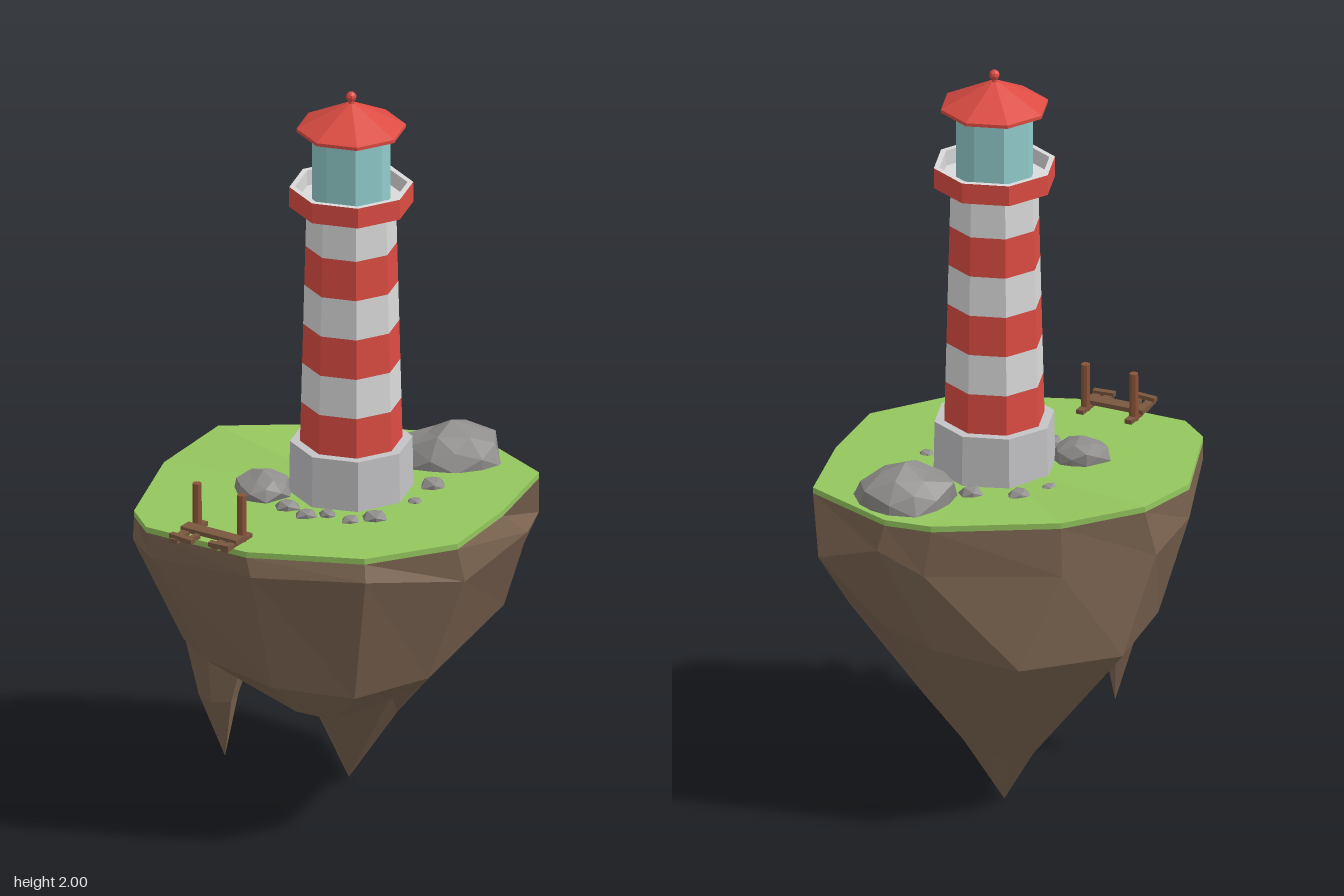
import * as THREE from 'three';

const mat = (name, color, side = THREE.FrontSide) => {
  const m = new THREE.MeshStandardMaterial({ color, flatShading: true, side });
  m.name = name;
  return m;
};

// Joins rings of [x, y, z] points; a ring of one point closes the end.
function loft(rings) {
  const n = Math.max(...rings.map((r) => r.length));
  const pos = [];
  for (let k = 0; k < rings.length - 1; k++) {
    const up = rings[k], low = rings[k + 1];
    for (let i = 0; i < n; i++) {
      const at = (r, j) => r[r.length === 1 ? 0 : j % n];
      const a = at(up, i), b = at(up, i + 1), d = at(low, i), e = at(low, i + 1);
      if (up.length > 1) pos.push(...a, ...b, ...d);
      if (low.length > 1) pos.push(...b, ...e, ...d);
      else if (up.length === 1) continue;
    }
  }
  const g = new THREE.BufferGeometry();
  g.setAttribute('position', new THREE.Float32BufferAttribute(pos, 3));
  g.computeVertexNormals();
  return g;
}

// Boulder: a squashed icosahedron, each corner pushed in or out by a hash of its place.
function boulder(rx, ry, rz, seed) {
  const g = new THREE.IcosahedronGeometry(1, rx > 0.06 ? 1 : 0);
  const p = g.attributes.position;
  for (let i = 0; i < p.count; i++) {
    const [x, y, z] = [p.getX(i), p.getY(i), p.getZ(i)].map((v) => Math.round(v * 100) / 100);
    const h = Math.sin(x * 12.9 + y * 78.2 + z * 37.7 + seed * 4.1) * 437.5;
    const s = 0.84 + 0.24 * (h - Math.floor(h));
    p.setXYZ(i, x * rx * s, y * ry * s, z * rz * s);
  }
  g.computeVertexNormals();
  return g;
}

// Island outline and the cross-sections below it, back left corner first, clockwise from above.
const EDGE = [
  [-0.27, 0.9, -0.42], [-0.04, 0.885, -0.44], [0.29, 0.88, -0.37], [0.4, 0.885, -0.31],
  [0.53, 0.885, -0.06], [0.41, 0.885, 0.18], [0.27, 0.882, 0.38], [0.02, 0.88, 0.45],
  [-0.28, 0.875, 0.36], [-0.52, 0.872, 0.16], [-0.54, 0.872, 0.05], [-0.43, 0.876, -0.25]];
const SHOULDER = [
  [-0.3, 0.76, -0.42], [-0.04, 0.74, -0.455], [0.31, 0.74, -0.37], [0.42, 0.8, -0.31],
  [0.54, 0.73, -0.16], [0.48, 0.8, 0.13], [0.29, 0.77, 0.37], [0.02, 0.82, 0.47],
  [-0.27, 0.81, 0.38], [-0.51, 0.79, 0.17], [-0.545, 0.8, 0.07], [-0.43, 0.78, -0.25]];
const WAIST = [
  [-0.2, 0.5, -0.46], [0.08, 0.49, -0.47], [0.28, 0.52, -0.35], [0.38, 0.55, -0.24],
  [0.44, 0.56, -0.08], [0.43, 0.55, 0.02], [0.2, 0.48, 0.32], [0, 0.46, 0.39],
  [-0.21, 0.48, 0.34], [-0.37, 0.5, 0.18], [-0.41, 0.5, 0.04], [-0.36, 0.5, -0.2]];
const UNDERSIDE = [
  [-0.09, 0.3, -0.34], [0.06, 0.29, -0.35], [0.17, 0.3, -0.28], [0.22, 0.3, -0.21],
  [0.25, 0.3, -0.13], [0.23, 0.32, -0.03], [0.17, 0.39, 0.2], [-0.05, 0.37, 0.31],
  [-0.14, 0.38, 0.27], [-0.2, 0.43, 0.12], [-0.22, 0.42, 0], [-0.18, 0.37, -0.17]];
const SPIKE = [
  [-0.01, 0.16, -0.26], [0.05, 0.15, -0.26], [0.11, 0.16, -0.22], [0.14, 0.16, -0.18],
  [0.15, 0.17, -0.15], [0.16, 0.22, -0.07], [0.13, 0.33, 0.07], [0.03, 0.31, 0.07],
  [-0.06, 0.33, 0.06], [-0.08, 0.34, 0.02], [-0.09, 0.32, -0.06], [-0.06, 0.24, -0.16]];

// [x, z, rx, rz, height above the grass]
const BOULDERS = [
  [0.315, -0.19, 0.138, 0.12, 0.105], [-0.195, -0.02, 0.078, 0.073, 0.06],
  [-0.065, -0.205, 0.027, 0.022, 0.02], [0.02, -0.228, 0.037, 0.032, 0.025],
  [0.14, -0.19, 0.037, 0.034, 0.03], [0.247, -0.01, 0.038, 0.04, 0.03],
  [0.19, 0.09, 0.024, 0.023, 0.015], [0.075, 0.185, 0.039, 0.038, 0.025],
  [0.01, 0.195, 0.027, 0.028, 0.018], [-0.045, 0.15, 0.026, 0.028, 0.018],
  [-0.1, 0.145, 0.031, 0.03, 0.02], [-0.145, 0.088, 0.036, 0.033, 0.025]];

export function createModel() {
  const model = new THREE.Group();
  model.name = 'lighthouseIsland';
  const grass = mat('grass green', 0x94c65e), earth = mat('earth brown', 0x7a6350);
  const stone = mat('boulder grey', 0x8f8d8b), base = mat('plinth grey', 0xc4c4c6);
  const white = mat('tower white', 0xdadada), red = mat('tower red', 0xdc4c43);
  const glass = mat('lantern glass', 0x92cccc), wood = mat('plank brown', 0x79573f);
  const post = mat('post brown', 0x8a5338);

  const add = (parent, name, geo, material, x = 0, y = 0, z = 0) => {
    const m = new THREE.Mesh(geo, material);
    m.name = name;
    m.position.set(x, y, z);
    parent.add(m);
    return m;
  };

  // Floating island: turf on top, tapering rock below
  const turfFoot = EDGE.map(([x, y, z]) => [x, y - 0.016, z]);
  add(model, 'turf', loft([[[0.03, 0.882, -0.02]], EDGE, turfFoot]), grass);
  add(model, 'islandRock', loft([turfFoot, SHOULDER, WAIST, UNDERSIDE, SPIKE, [[0.045, 0, -0.17]]]), earth);

  // Smaller hanging spike
  const ring = (x, y, z, rx, rz) => Array.from({ length: 6 }, (_, i) => {
    const a = (i / 6) * Math.PI * 2;
    return [x + rx * Math.cos(a), y, z + rz * Math.sin(a)];
  });
  add(model, 'sideSpike', loft([ring(-0.31, 0.52, 0.06, 0.1, 0.12), ring(-0.32, 0.35, 0.06, 0.052, 0.07), [[-0.3, 0.16, 0.03]]]), earth);

  // Tower: eight-sided, corners on the axes
  const tower = new THREE.Group();
  tower.name = 'tower';
  tower.position.set(0.035, 0, -0.02);
  model.add(tower);
  const octagon = (name, rTop, rBottom, y0, y1, material, open = false) =>
    add(tower, name, new THREE.CylinderGeometry(rTop, rBottom, y1 - y0, 8, 1, open), material, 0, (y0 + y1) / 2, 0);

  octagon('plinth', 0.16, 0.163, 0.86, 1.02, base);
  const radius = (k) => 0.134 - 0.0028 * k;
  for (let k = 0; k < 6; k++) {
    octagon(k % 2 ? 'whiteBand' : 'redBand', radius(k + 1), radius(k), 1.02 + 0.11 * k, 1.13 + 0.11 * k, k % 2 ? white : red, true);
  }

  // Gallery with a hollow parapet
  const lathe = (name, pts, material) =>
    add(tower, name, new THREE.LatheGeometry(pts.map(([r, y]) => new THREE.Vector2(r, y)), 8), material);
  octagon('parapet', 0.162, 0.162, 1.682, 1.738, red, true);
  lathe('galleryUnderside', [[0.05, 1.682], [0.162, 1.682]], base);
  lathe('galleryInside', [[0.162, 1.738], [0.147, 1.738], [0.147, 1.695], [0.05, 1.695]], white);

  // Lantern room, roof and finial
  octagon('lantern', 0.103, 0.103, 1.69, 1.9, glass);
  octagon('eaves', 0.143, 0.143, 1.893, 1.902, red);
  octagon('roof', 0.012, 0.143, 1.902, 1.968, red);
  octagon('finialStem', 0.007, 0.009, 1.96, 1.98, red);
  add(tower, 'finialBall', new THREE.SphereGeometry(0.014, 8, 6), red, 0, 1.986, 0);

  // Boulders around the tower
  BOULDERS.forEach(([x, z, rx, rz, h], i) => {
    const g = boulder(rx, h, rz, i);
    add(model, 'boulder', g, stone, x, 0.88, z);
  });

  // Broken jetty at the front edge; local z points outward
  const jetty = new THREE.Group();
  jetty.name = 'jetty';
  jetty.position.set(-0.337, 0.887, 0.24);
  jetty.rotation.y = -0.7;
  model.add(jetty);
  const plank = (x, z, w, d, y = 0, turn = 0) => {
    add(jetty, 'plank', new THREE.BoxGeometry(w, 0.012, d), wood, x, y, z).rotation.y = turn;
  };
  for (const s of [-1, 1]) {
    add(jetty, 'post', new THREE.CylinderGeometry(0.012, 0.013, 0.15, 8), post, s * 0.07, 0.043, 0);
    plank(s * 0.07, 0.0, 0.02, 0.07, -0.006);
  }
  plank(0, 0.033, 0.175, 0.038, 0.004);
  plank(-0.068, 0.083, 0.022, 0.07, -0.004, 0.1);
  plank(-0.035, 0.075, 0.015, 0.05, -0.004, -0.1);
  plank(-0.045, 0.107, 0.075, 0.016, 0.006, -0.12);
  plank(0.045, 0.068, 0.022, 0.045, -0.004, -0.08);
  plank(0.075, 0.068, 0.02, 0.05, -0.004, 0.1);
  plank(0.06, 0.088, 0.06, 0.018, 0.004, 0.08);
  return model;
}
